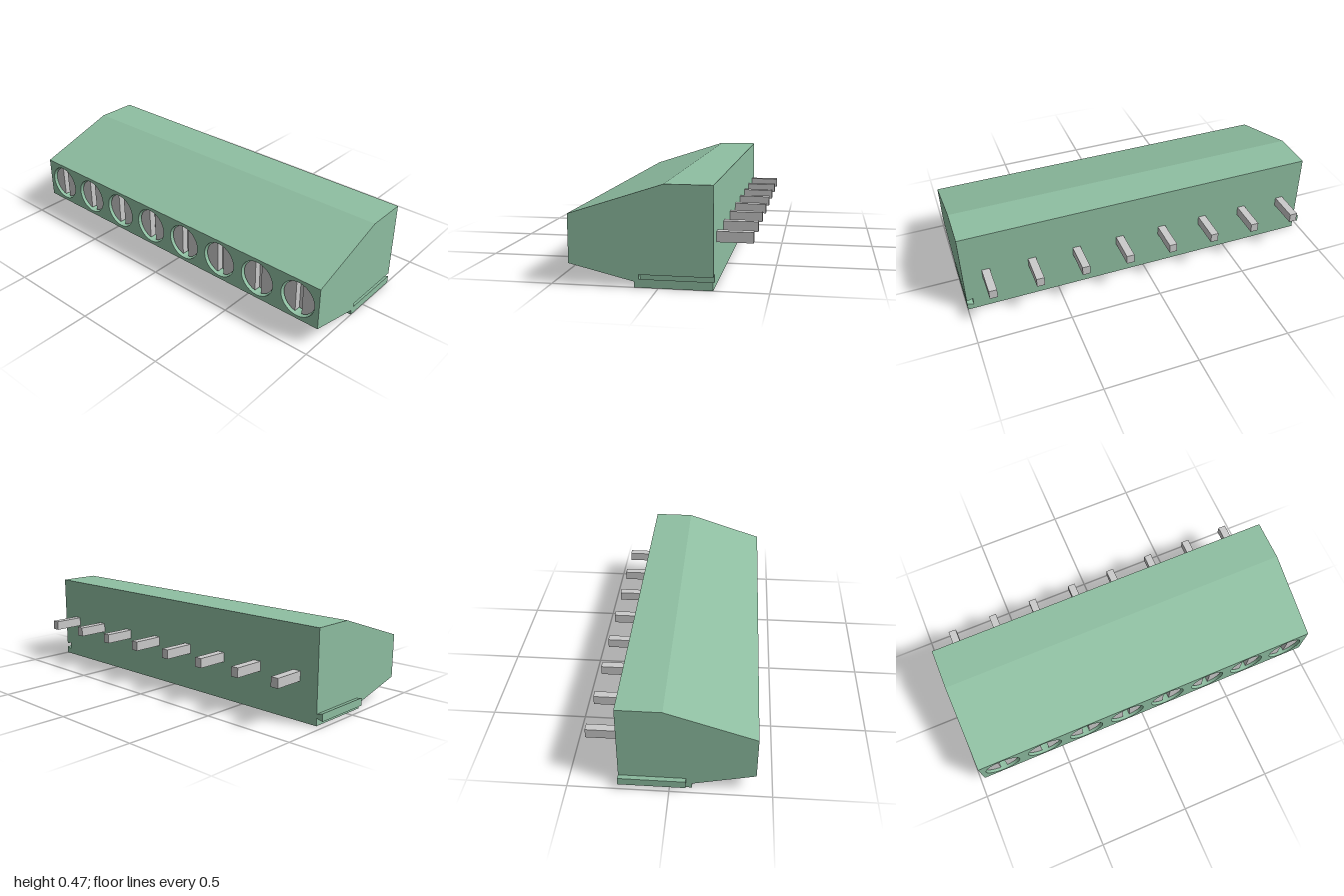
import * as THREE from 'three';

const LEFT = 1, RIGHT = -0.966, FRONT = 0.418, BACK = -0.25;
const COUNT = 8, PITCH = 0.2457, FIRST = -0.843;
const SCREW_Y = 0.215, HOLE_R = 0.097, SCREW_R = 0.09;

const green = new THREE.MeshStandardMaterial({ color: 0x8fbfa2, side: THREE.DoubleSide, flatShading: true });
const grey = new THREE.MeshStandardMaterial({ color: 0xcccccc });

const shapeOf = (pts) => new THREE.Shape(pts.map(([x, y]) => new THREE.Vector2(x, y)));

function rectangle(cx, cy, w, h) {
  return [[cx - w / 2, cy - h / 2], [cx + w / 2, cy - h / 2], [cx + w / 2, cy + h / 2], [cx - w / 2, cy + h / 2]];
}

// Flat walls joining successive rings of 3D points
function loft(rings, closed = true) {
  const pos = [];
  for (let r = 0; r + 1 < rings.length; r++) {
    const a = rings[r], b = rings[r + 1];
    const n = closed ? a.length : a.length - 1;
    for (let i = 0; i < n; i++) {
      const j = (i + 1) % a.length;
      pos.push(...a[i], ...a[j], ...b[j], ...a[i], ...b[j], ...b[i]);
    }
  }
  const g = new THREE.BufferGeometry();
  g.setAttribute('position', new THREE.Float32BufferAttribute(pos, 3));
  g.computeVertexNormals();
  return g;
}

export function createModel() {
  const model = new THREE.Group();
  model.name = 'terminalBlock';
  const housing = new THREE.Group();
  housing.name = 'housing';
  model.add(housing);

  const add = (parent, name, geometry, material, x = 0, y = 0, z = 0) => {
    const mesh = new THREE.Mesh(geometry, material);
    mesh.name = name;
    mesh.position.set(x, y, z);
    parent.add(mesh);
    return mesh;
  };
  const centres = Array.from({ length: COUNT }, (_, i) => FIRST + i * PITCH);
  const midX = (LEFT + RIGHT) / 2, width = LEFT - RIGHT;

  // Side outline as [z, y]
  const outline = [[FRONT, 0.1], [FRONT, 0.33], [-0.027, 0.475], [BACK, 0.475], [BACK, 0], [0.11, 0], [0.11, 0.027]];
  const across = (pts) => loft([RIGHT, LEFT].map((x) => pts.map(([z, y]) => [x, y, z])), false);
  add(housing, 'roof', across(outline.slice(1, 4)), green);
  add(housing, 'lowerSlope', across([outline[5], outline[6], outline[0]]), green);

  // End walls; the left one is slotted for the neighbouring block's rail
  const slotted = [...outline.slice(0, 4), [BACK, 0.06], [0.09, 0.06], [0.09, 0.04], [BACK, 0.04], ...outline.slice(4)];
  const leftEnd = new THREE.ShapeGeometry(shapeOf(slotted.map(([z, y]) => [-z, y]))).rotateY(Math.PI / 2);
  add(housing, 'leftEnd', leftEnd, green, LEFT);
  add(housing, 'rightEnd', new THREE.ShapeGeometry(shapeOf(outline)).rotateY(-Math.PI / 2), green, RIGHT);

  // Dovetail groove and the back wall it opens through
  const dovetail = [[LEFT, 0.04], [0.966, 0.03], [0.966, 0.07], [LEFT, 0.06]];
  add(housing, 'groove', loft([BACK, 0.09].map((z) => dovetail.map(([x, y]) => [x, y, z])), false), green);
  add(housing, 'grooveEnd', new THREE.ShapeGeometry(shapeOf(dovetail)).rotateY(Math.PI), green, 2 * 0.983, 0, 0.09)
    .scale.x = -1;
  housing.getObjectByName('grooveEnd').position.x = 0;
  housing.getObjectByName('grooveEnd').scale.x = 1;
  housing.getObjectByName('grooveEnd').geometry = new THREE.ShapeGeometry(shapeOf(dovetail));
  const backPts = [[RIGHT, 0], [LEFT, 0], ...dovetail, [LEFT, 0.475], [RIGHT, 0.475]];
  const back = new THREE.ShapeGeometry(shapeOf(backPts.map(([x, y]) => [-x, y]))).rotateY(Math.PI);
  add(housing, 'backWall', back, green, 0, 0, BACK);

  // Dovetail rail on the right end
  const rail = shapeOf([[-1, 0.03], [RIGHT, 0.04], [RIGHT, 0.06], [-1, 0.07]]);
  add(housing, 'rail', new THREE.ExtrudeGeometry(rail, { depth: 0.33, bevelEnabled: false }), green, 0, 0, BACK);

  // Front wall with round screw holes, floor with wire funnels
  const front = shapeOf(rectangle(midX, 0.215, width, 0.23));
  const floor = shapeOf(rectangle(midX, -0.07, width, 0.36));
  for (const x of centres) {
    front.holes.push(new THREE.Path().absarc(x, SCREW_Y, HOLE_R, 0, Math.PI * 2, true));
    floor.holes.push(new THREE.Path(rectangle(x, -0.07, 0.2, 0.27).map(([a, b]) => new THREE.Vector2(a, b))));
  }
  add(housing, 'frontWall', new THREE.ShapeGeometry(front, 24), green, 0, 0, FRONT);
  add(housing, 'floor', new THREE.ShapeGeometry(floor).rotateX(Math.PI / 2), green);

  // Screw head halves either side of the slot
  const slot = Math.asin(0.019 / SCREW_R);
  const half = new THREE.Shape().absarc(0, 0, SCREW_R, -Math.PI / 2 + slot, Math.PI / 2 - slot, false);
  const halfGeometry = new THREE.ExtrudeGeometry(half, { depth: 0.04, bevelEnabled: false, curveSegments: 24 });
  const bore = new THREE.CylinderGeometry(HOLE_R, HOLE_R, 0.06, 48, 1, true).rotateX(Math.PI / 2);
  const boreMaterial = green.clone();
  boreMaterial.flatShading = false;
  const shank = new THREE.CylinderGeometry(SCREW_R, SCREW_R, 0.02, 48).rotateX(Math.PI / 2);
  const pinGeometry = new THREE.BoxGeometry(0.042, 0.05, 0.168);

  centres.forEach((x, i) => {
    const pole = new THREE.Group();
    pole.name = `pole${i + 1}`;
    pole.position.x = x;
    model.add(pole);

    // Screw in its bore
    add(pole, 'screwBore', bore, boreMaterial, 0, SCREW_Y, FRONT - 0.03);
    add(pole, 'boreFloor', new THREE.CircleGeometry(HOLE_R, 48), green, 0, SCREW_Y, FRONT - 0.06);
    add(pole, 'screwBase', shank, grey, 0, SCREW_Y, FRONT - 0.06);
    for (const turn of [0, Math.PI]) {
      add(pole, 'screwHalf', halfGeometry, grey, 0, SCREW_Y, FRONT - 0.055).rotation.z = turn;
    }

    // Tapered wire entry
    const ring = (y, w, d) => rectangle(0, -0.07, w, d).map(([a, b]) => [a, y, b]);
    add(pole, 'wireFunnel', loft([ring(0, 0.2, 0.27), ring(0.09, 0.1, 0.13), ring(0.18, 0.1, 0.13)]), green);
    add(pole, 'funnelEnd', new THREE.PlaneGeometry(0.1, 0.13).rotateX(Math.PI / 2), green, 0, 0.18, -0.07);

    // Solder pin
    add(pole, 'pin', pinGeometry, grey, 0, 0.225, BACK - 0.084);
  });

  return model;
}
